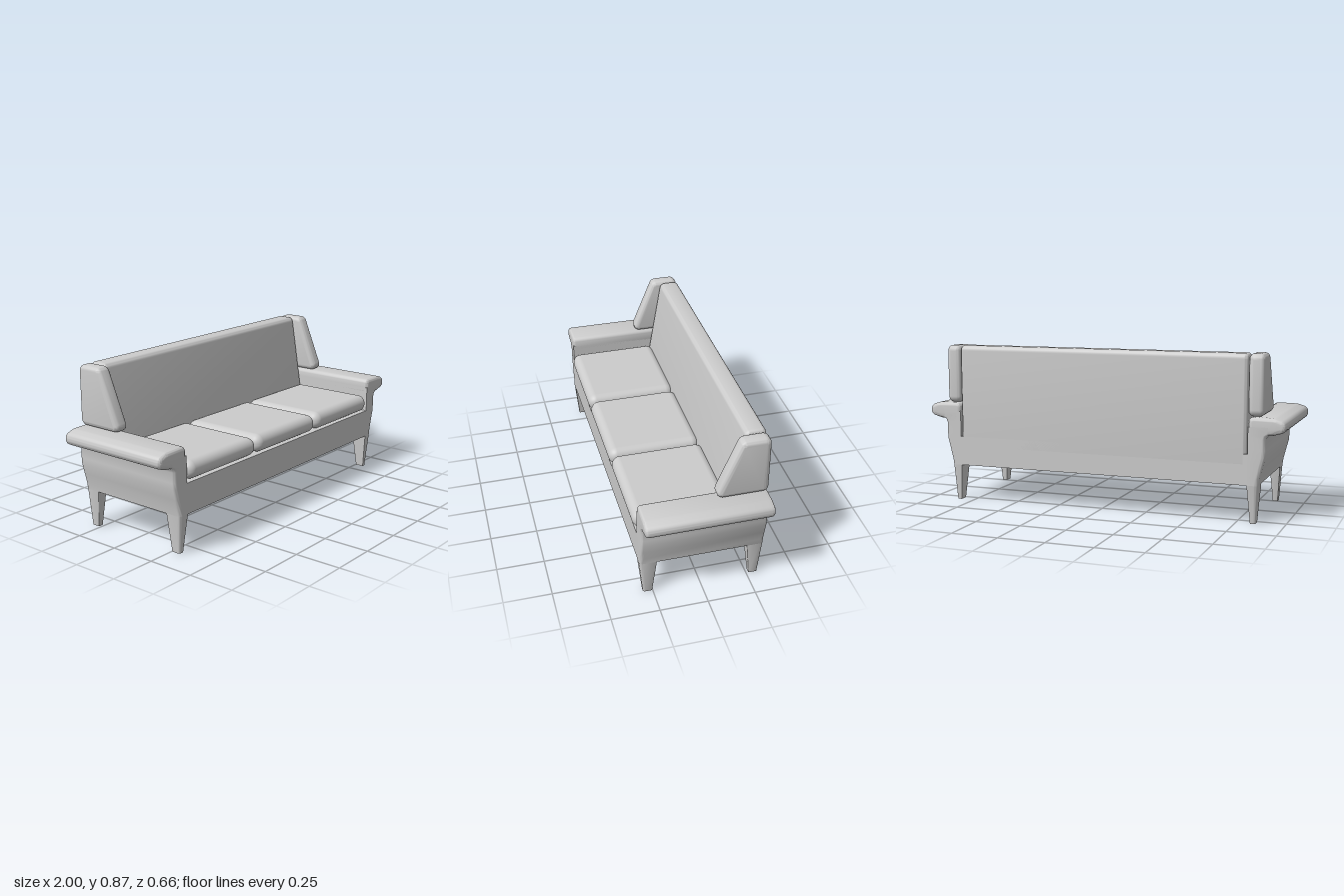
import * as THREE from 'three';
import { toCreasedNormals } from 'three/addons/utils/BufferGeometryUtils.js';
import { RoundedBoxGeometry } from 'three/addons/geometries/RoundedBoxGeometry.js';

const material = new THREE.MeshStandardMaterial({ color: 0xcccccc });

function addMesh(parent, name, geometry) {
  const mesh = new THREE.Mesh(geometry, material);
  mesh.name = name;
  parent.add(mesh);
  return mesh;
}

// Closed outline with softened corners
function softShape(points, r) {
  const shape = new THREE.Shape();
  const pts = points.map(([x, y]) => new THREE.Vector2(x, y));
  pts.forEach((p, i) => {
    const toward = (q) => p.clone().add(q.clone().sub(p).setLength(r));
    const a = toward(pts[(i + pts.length - 1) % pts.length]);
    const b = toward(pts[(i + 1) % pts.length]);
    if (i === 0) shape.moveTo(a.x, a.y);
    else shape.lineTo(a.x, a.y);
    shape.quadraticCurveTo(p.x, p.y, b.x, b.y);
  });
  shape.closePath();
  return shape;
}

// Padded slab: the outline grows outward by the bevel; total thickness is depth
function padded(points, depth, bevel, r = 0.009) {
  const geometry = new THREE.ExtrudeGeometry(softShape(points, r), {
    depth: depth - 2 * bevel, bevelSize: bevel, bevelThickness: bevel,
    bevelSegments: 6, curveSegments: 6,
  });
  return geometry.translate(0, 0, bevel - depth / 2);
}

// Horizontal section; the outer corners are rounded by rFront and rBack
function section(y, x0, x1, z0, z1, rFront, rBack) {
  const ring = [[x0, y, z1]];
  for (let i = 0; i <= 5; i++) {
    const a = (i / 5) * Math.PI / 2;
    ring.push([x1 - rFront + rFront * Math.sin(a), y, z1 - rFront + rFront * Math.cos(a)]);
  }
  for (let i = 0; i <= 5; i++) {
    const a = (i / 5) * Math.PI / 2;
    ring.push([x1 - rBack + rBack * Math.cos(a), y, z0 + rBack - rBack * Math.sin(a)]);
  }
  ring.push([x0, y, z0]);
  return ring;
}

// Solid through sections listed from bottom to top
function loft(rings) {
  const n = rings[0].length, out = [];
  const tri = (a, b, c) => out.push(...a, ...b, ...c);
  for (let k = 0; k < rings.length - 1; k++) {
    for (let i = 0; i < n; i++) {
      const j = (i + 1) % n, lo = rings[k], hi = rings[k + 1];
      tri(lo[i], lo[j], hi[j]);
      tri(lo[i], hi[j], hi[i]);
    }
  }
  const bottom = rings[0], top = rings[rings.length - 1];
  for (let i = 1; i < n - 1; i++) {
    tri(bottom[0], bottom[i + 1], bottom[i]);
    tri(top[0], top[i], top[i + 1]);
  }
  const geometry = new THREE.BufferGeometry();
  geometry.setAttribute('position', new THREE.Float32BufferAttribute(out, 3));
  return geometry;
}

// Smooth the normals, mirroring across x = 0 for the right side
function finish(geometry, side = 1) {
  const p = geometry.getAttribute('position');
  if (side < 0) {
    for (let i = 0; i < p.count; i += 3) {
      const v = [0, 2, 1].map((k) => [-p.getX(i + k), p.getY(i + k), p.getZ(i + k)]);
      v.forEach((c, k) => p.setXYZ(i + k, ...c));
    }
  }
  geometry.deleteAttribute('uv');
  geometry.computeVertexNormals();
  return toCreasedNormals(geometry, 0.65);
}

export function createModel() {
  const sofa = new THREE.Group();
  sofa.name = 'sofa';

  // Seat frame
  addMesh(sofa, 'seatFrame', new THREE.BoxGeometry(1.63, 0.16, 0.65)).position.set(0, 0.28, -0.005);

  // Sloping backrest
  const back = padded([[-0.31, 0.3], [-0.15, 0.3], [-0.24, 0.845], [-0.31, 0.845]], 1.61, 0.02);
  addMesh(sofa, 'backrest', finish(back.rotateY(-Math.PI / 2)));

  // Three seat cushions
  for (const i of [-1, 0, 1]) {
    const cushion = addMesh(sofa, 'seatCushion', new RoundedBoxGeometry(0.53, 0.096, 0.5, 6, 0.046));
    cushion.position.set(i * 0.536, 0.412, 0.082);
  }

  for (const side of [1, -1]) {
    const end = new THREE.Group();
    end.name = side > 0 ? 'leftSide' : 'rightSide';
    sofa.add(end);

    // Arm panel, swelling outward up to the armrest
    const outer = [[0.2, 0.865], [0.235, 0.87], [0.29, 0.884], [0.345, 0.898], [0.38, 0.9],
      [0.435, 0.9], [0.455, 0.908], [0.47, 0.928], [0.5, 0.932]];
    const panel = loft(outer.map(([y, x]) => section(y, 0.81, x, -0.33, 0.32, 0.02, 0.02)));
    addMesh(end, 'armPanel', finish(panel, side));

    // Armrest overhanging the panel
    const rest = padded([[0.83, 0.47], [0.93, 0.478], [0.98, 0.492], [0.98, 0.514],
      [0.94, 0.527], [0.83, 0.529]], 0.65, 0.02);
    addMesh(end, 'armrest', finish(rest.translate(0, 0, -0.005), side));

    // Wing standing on the armrest
    const wing = padded([[-0.305, 0.575], [-0.09, 0.575], [-0.2, 0.84], [-0.305, 0.84]], 0.08, 0.025);
    addMesh(end, 'wing', finish(wing.rotateY(-Math.PI / 2).translate(0.848, 0, 0), side));

    // Tapered legs
    const front = [section(0, 0.825, 0.852, 0.253, 0.3, 0.01, 0.002),
      section(0.2, 0.808, 0.865, 0.231, 0.32, 0.02, 0.002)];
    const rear = [section(0, 0.825, 0.852, -0.31, -0.263, 0.002, 0.01),
      section(0.2, 0.808, 0.865, -0.33, -0.241, 0.002, 0.02)];
    addMesh(end, 'frontLeg', finish(loft(front), side));
    addMesh(end, 'backLeg', finish(loft(rear), side));
  }
  return sofa;
}
